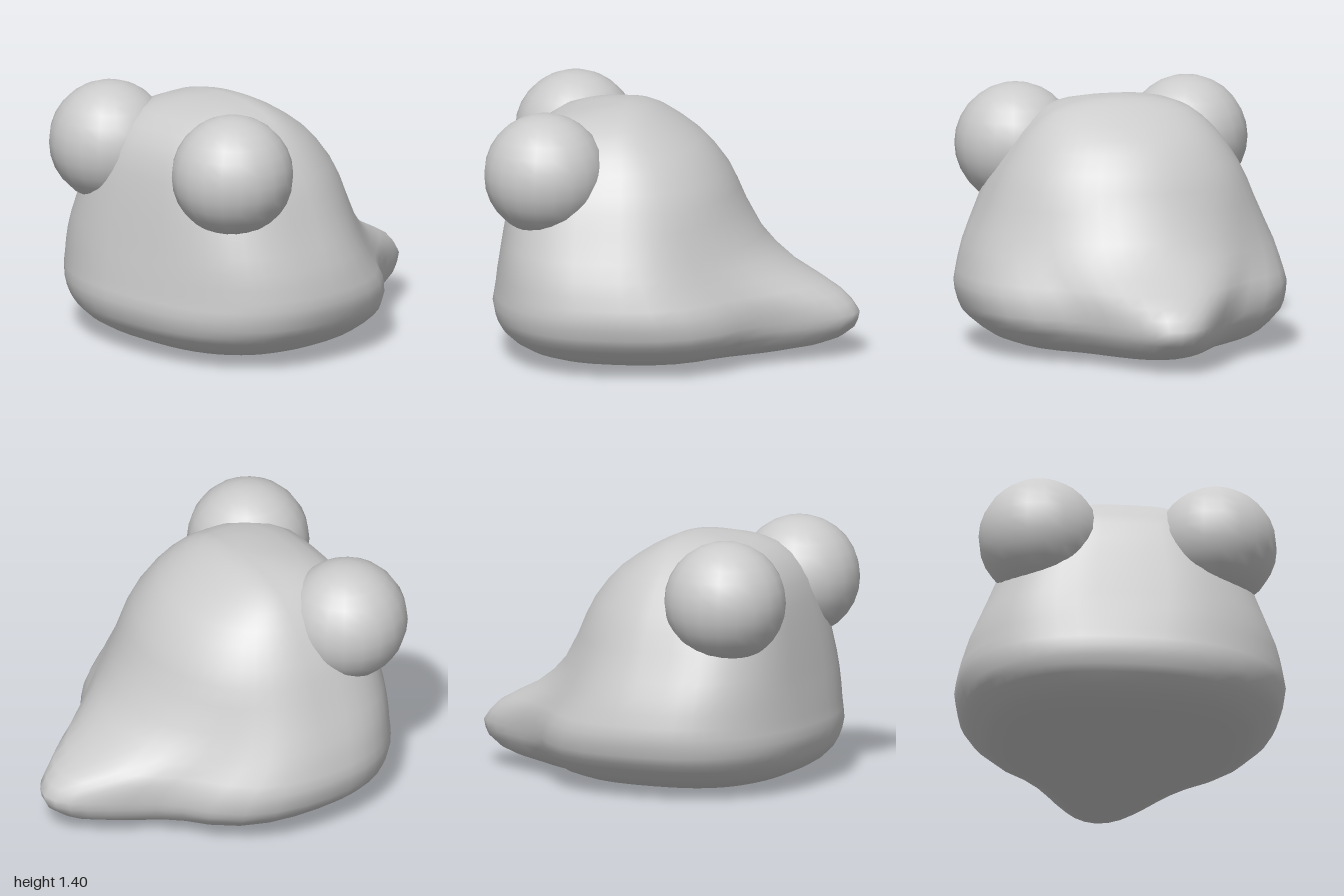
import * as THREE from 'three';

const material = new THREE.MeshStandardMaterial({ color: 0xcccccc });

// Horizontal levels of the body: y, half width, front z, back z, tail amount
const LEVELS = [
  [0.01, 0.25, 0.50, 0.00, 0.2], [0.025, 0.50, 0.70, -0.45, 0.5],
  [0.045, 0.61, 0.77, -0.66, 0.7], [0.075, 0.70, 0.84, -0.81, 0.85],
  [0.11, 0.755, 0.90, -0.905, 0.9], [0.16, 0.815, 0.95, -0.97, 0.95],
  [0.20, 0.855, 0.97, -0.99, 1], [0.245, 0.875, 0.985, -1.0, 1],
  [0.30, 0.89, 0.995, -0.96, 0.95], [0.355, 0.898, 0.985, -0.90, 0.85],
  [0.41, 0.887, 0.975, -0.80, 0.7], [0.48, 0.87, 0.965, -0.66, 0.5],
  [0.56, 0.845, 0.95, -0.55, 0.33], [0.65, 0.805, 0.935, -0.46, 0.2],
  [0.80, 0.74, 0.91, -0.37, 0.05], [0.90, 0.70, 0.89, -0.325, 0],
  [1.00, 0.65, 0.87, -0.275, 0], [1.10, 0.585, 0.84, -0.20, 0],
  [1.17, 0.53, 0.80, -0.13, 0], [1.235, 0.465, 0.75, -0.04, 0],
  [1.29, 0.39, 0.67, 0.05, 0], [1.325, 0.30, 0.57, 0.12, 0],
  [1.35, 0.19, 0.45, 0.18, 0],
];
const MID_Z = 0.28;
const QUARTER = 12; // ring points per quarter

// Pinched tail outline, as (width fraction, distance fraction towards the tip)
const tailCurve = new THREE.SplineCurve([
  [1, 0], [0.985, 0.16], [0.91, 0.335], [0.73, 0.485], [0.53, 0.585],
  [0.4, 0.7], [0.3, 0.81], [0.2, 0.91], [0.11, 0.975], [0, 1],
].map(([x, s]) => new THREE.Vector2(x, s)));

// One point of a level's outline: squarish front, back blended from round to tail
function outlinePoint([y, w, front, back, tail], i) {
  const a = (i / (QUARTER * 4)) * Math.PI * 2;
  const c = Math.cos(a), s = Math.sin(a), side = Math.sign(c);
  if (s >= 0) {
    // front corners grow squarer towards the eyes
    const p = 2 / (2.4 + 0.6 * THREE.MathUtils.smoothstep(y, 0.3, 0.8));
    return [side * w * Math.abs(c) ** p, y, MID_Z + (front - MID_Z) * s ** p];
  }
  const t = tailCurve.getPoint(Math.asin(Math.min(1, -s)) / (Math.PI / 2));
  const x = THREE.MathUtils.lerp(Math.abs(c), t.x, tail);
  const d = THREE.MathUtils.lerp(-s, t.y, tail);
  return [side * w * x, y, MID_Z + (back - MID_Z) * d];
}

function bodyGeometry() {
  const n = QUARTER * 4, positions = [], index = [];
  for (const level of LEVELS)
    for (let i = 0; i < n; i++) positions.push(...outlinePoint(level, i));
  const bottom = LEVELS.length * n, top = bottom + 1;
  positions.push(0, 0.003, 0.27, 0, 1.368, 0.28);
  const lastRing = (LEVELS.length - 1) * n;
  for (let i = 0; i < n; i++) {
    const k = (i + 1) % n;
    for (let r = 0; r < lastRing; r += n)
      index.push(r + i, r + n + i, r + k, r + k, r + n + i, r + n + k);
    index.push(bottom, i, k, top, lastRing + k, lastRing + i);
  }
  const geometry = new THREE.BufferGeometry();
  geometry.setAttribute('position', new THREE.Float32BufferAttribute(positions, 3));
  geometry.setIndex(index);
  geometry.computeVertexNormals();
  return geometry;
}

export function createModel() {
  const model = new THREE.Group();
  model.name = 'bigEyedCreature';

  // Body and tail in one smooth skin
  const body = new THREE.Mesh(bodyGeometry(), material);
  body.name = 'bodyWithTail';
  model.add(body);

  // Round bulging eyes, sunk into the upper front corners of the head
  for (const side of [1, -1]) {
    const eye = new THREE.Mesh(new THREE.SphereGeometry(0.333, 20, 14), material);
    eye.name = side > 0 ? 'leftEye' : 'rightEye';
    eye.position.set(side * 0.482, 1.067, 0.652);
    model.add(eye);
  }
  return model;
}
